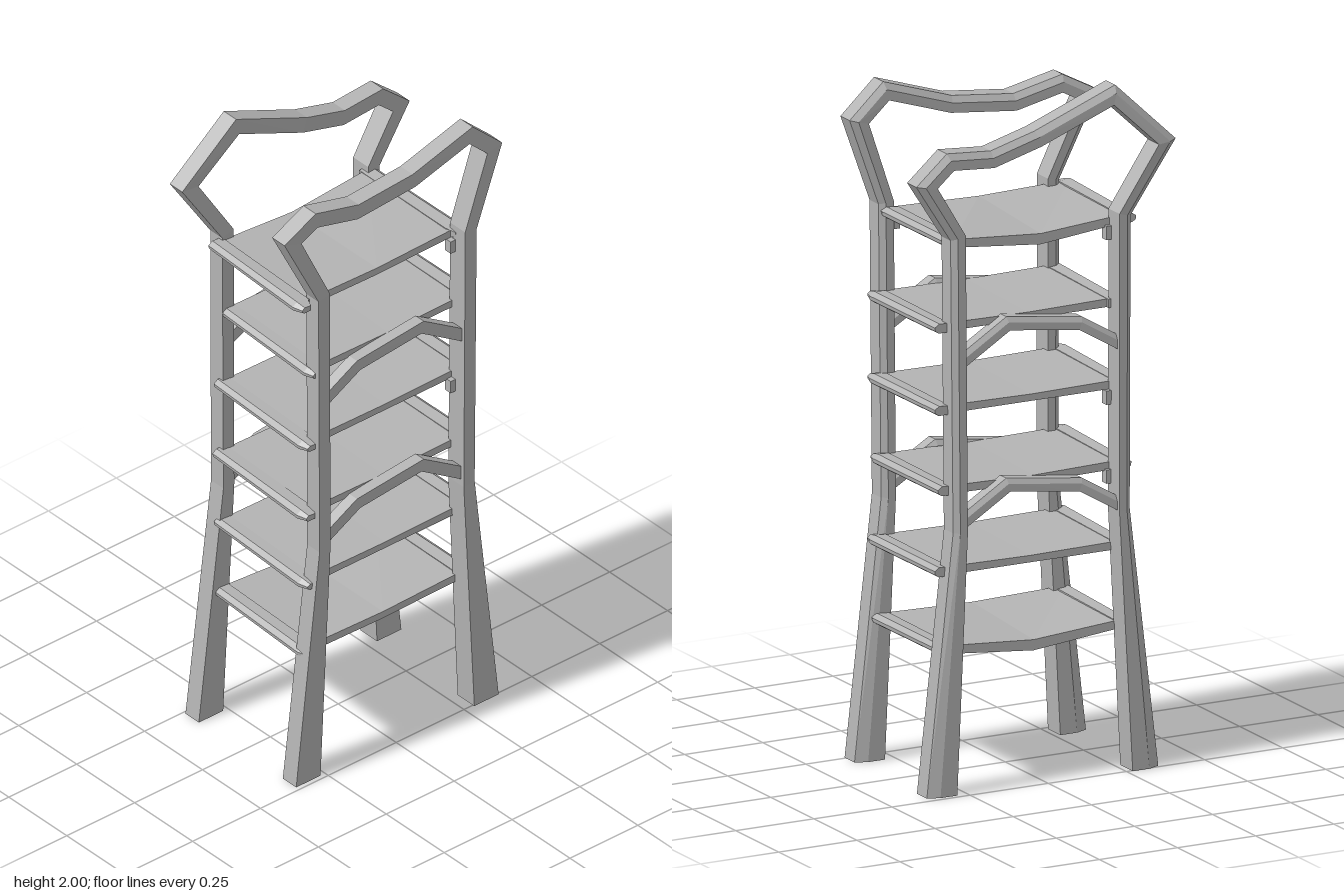
import * as THREE from 'three';

const grey = new THREE.MeshStandardMaterial({ color: 0xb4b4b4, flatShading: true });
grey.name = 'pale grey';

// Joins a row of closed cross-sections into a faceted solid with end caps
function loft(name, rings) {
  const pos = [];
  const tri = (a, b, c) => [a, b, c].forEach((p) => pos.push(p.x, p.y, p.z));
  const n = rings[0].length;
  for (let i = 0; i < rings.length - 1; i++) {
    for (let j = 0; j < n; j++) {
      const k = (j + 1) % n;
      const a = rings[i][j], b = rings[i][k], c = rings[i + 1][k], d = rings[i + 1][j];
      tri(a, b, c);
      tri(a, c, d);
    }
  }
  const first = rings[0], last = rings[rings.length - 1];
  for (let j = 1; j < n - 1; j++) {
    tri(first[0], first[j + 1], first[j]);
    tri(last[0], last[j], last[j + 1]);
  }
  const geo = new THREE.BufferGeometry();
  geo.setAttribute('position', new THREE.Float32BufferAttribute(pos, 3));
  geo.computeVertexNormals();
  const mesh = new THREE.Mesh(geo, grey);
  mesh.name = name;
  return mesh;
}

// Timber section: [outward, sideways], with one chamfered outer edge
const TIMBER = [[-0.5, -0.5], [0.1, -0.5], [0.5, -0.3], [0.5, 0.5], [-0.5, 0.5]];

// Mitred timber along [z, y, thickness, depth] points; xAt gives its x for each z
function timber(name, path, xAt) {
  const dir = (a, b) => new THREE.Vector2(b[0] - a[0], b[1] - a[1]).normalize();
  const rings = path.map((p, i) => {
    const t0 = dir(path[Math.max(i - 1, 0)], path[Math.max(i, 1)]);
    const t1 = i < path.length - 1 ? dir(p, path[i + 1]) : t0;
    const t = t0.clone().add(t1).normalize();
    const mitre = 1 / Math.max(t.dot(t0), 0.65);
    // Feet are cut level with the ground
    const level = p[1] === 0 ? 0 : 1;
    return TIMBER.map(([u, v]) => {
      const o = u * p[2] * mitre;
      return new THREE.Vector3(xAt(p[0]) + v * p[3], p[1] - t.x * o * level, p[0] + t.y * o);
    });
  });
  return loft(name, rings);
}

// Posts shared by both frames, with each frame's own crooked top bar
function sideFrame(name, top, xAt, drop) {
  const group = new THREE.Group();
  group.name = name;
  const path = [
    [0.312, 0, 0.09, 0.072], [0.25, 0.76, 0.04, 0.067], [0.252, 1.62, 0.042, 0.065],
    ...top.map(([z, y]) => [z, y, 0.047, 0.067]),
    [-0.275, 1.62, 0.042, 0.065], [-0.268, 0.76, 0.04, 0.067], [-0.328, 0, 0.09, 0.072],
  ];
  group.add(timber('postsAndTopBar', path, xAt));

  // Bent braces between the posts
  for (const y of [0.78, 1.25]) {
    const arch = [[0.25, 0], [0.12, 0.077], [-0.11, 0.107], [-0.268, 0.01]];
    group.add(timber('archedBrace', arch.map(([z, h]) => [z, y + h - drop, 0.037, 0.045]), xAt));
  }
  return group;
}

// Chamfered rail running along x; out is 1 when its outer edge faces +z, -1 for -z
function rail(name, y, z0, z1, x0, x1, out) {
  const section = [[-0.016, -0.03], [0.012, -0.03], [0.015, 0.008], [0.004, 0.024], [-0.008, 0.022], [-0.016, 0.01]];
  const ends = [[x0, z0, 0.9], [x1 - 0.03, z1, 1], [x1, z1, 0.6]];
  const rings = ends.map(([x, z, s]) => {
    const ring = section.map(([v, w]) => new THREE.Vector3(x, y + v * s, z + w * s * out));
    return out < 0 ? ring.reverse() : ring;
  });
  return loft(name, rings);
}

// Thin tray with a rail along its front and back; the sag is deepest at the -x side
function shelf(y, front, back, sag) {
  const group = new THREE.Group();
  group.name = 'shelf';
  const rings = [[-0.185, 1, -0.012], [0.195, 0.2, 0.012]].map(([x, amount, skew]) => {
    const s = sag * amount, f = front - 0.03 + skew, b = back + 0.03;
    const mid = (f + b) / 2;
    return [[-0.014 - s, mid], [-0.014, b], [0.01, b], [0.006 - s * 0.6, mid], [0.01, f], [-0.014, f]]
      .map(([h, z]) => new THREE.Vector3(x, y + h, z));
  });
  group.add(loft('tray', rings));
  group.add(rail('frontRail', y, front - 0.04, front - 0.024, -0.195, 0.22, 1));
  group.add(rail('backRail', y, back + 0.024, back + 0.024, -0.195, 0.21, -1));
  return group;
}

export function createModel() {
  const model = new THREE.Group();
  model.name = 'tallShelfRack';

  // Side frames
  const leftX = (z) => 0.21 - 0.03 * z;
  const rightX = (z) => -0.2 - 0.2 * Math.max(z, 0) ** 2;
  model.add(sideFrame('leftFrame', [
    [0.365, 1.85], [0.28, 1.895], [0.13, 1.86], [-0.07, 1.88], [-0.275, 1.945], [-0.36, 1.865],
  ], leftX, 0));
  model.add(sideFrame('rightFrame', [
    [0.378, 1.82], [0.22, 1.972], [-0.02, 1.875], [-0.165, 1.835], [-0.3, 1.845], [-0.375, 1.78],
  ], rightX, 0.01));

  // Shelves: height, front edge, back edge, sag
  const shelves = [
    [1.595, 0.33, -0.295, 0.028], [1.355, 0.29, -0.335, 0], [1.115, 0.31, -0.335, 0],
    [0.88, 0.315, -0.325, 0.004], [0.645, 0.31, -0.335, 0], [0.415, 0.315, -0.325, 0.028],
  ];
  for (const s of shelves) model.add(shelf(...s));

  // Small pegs under some of the shelves
  const peg = new THREE.BoxGeometry(0.025, 0.04, 0.018);
  for (const [x, y, z] of [
    [-0.185, 1.56, 0.224], [0.2, 1.56, -0.242], [-0.185, 1.08, 0.224],
    [0.2, 1.085, -0.242], [-0.185, 0.85, 0.224],
  ]) {
    const mesh = new THREE.Mesh(peg, grey);
    mesh.name = 'shelfPeg';
    mesh.position.set(x, y, z);
    model.add(mesh);
  }
  return model;
}
